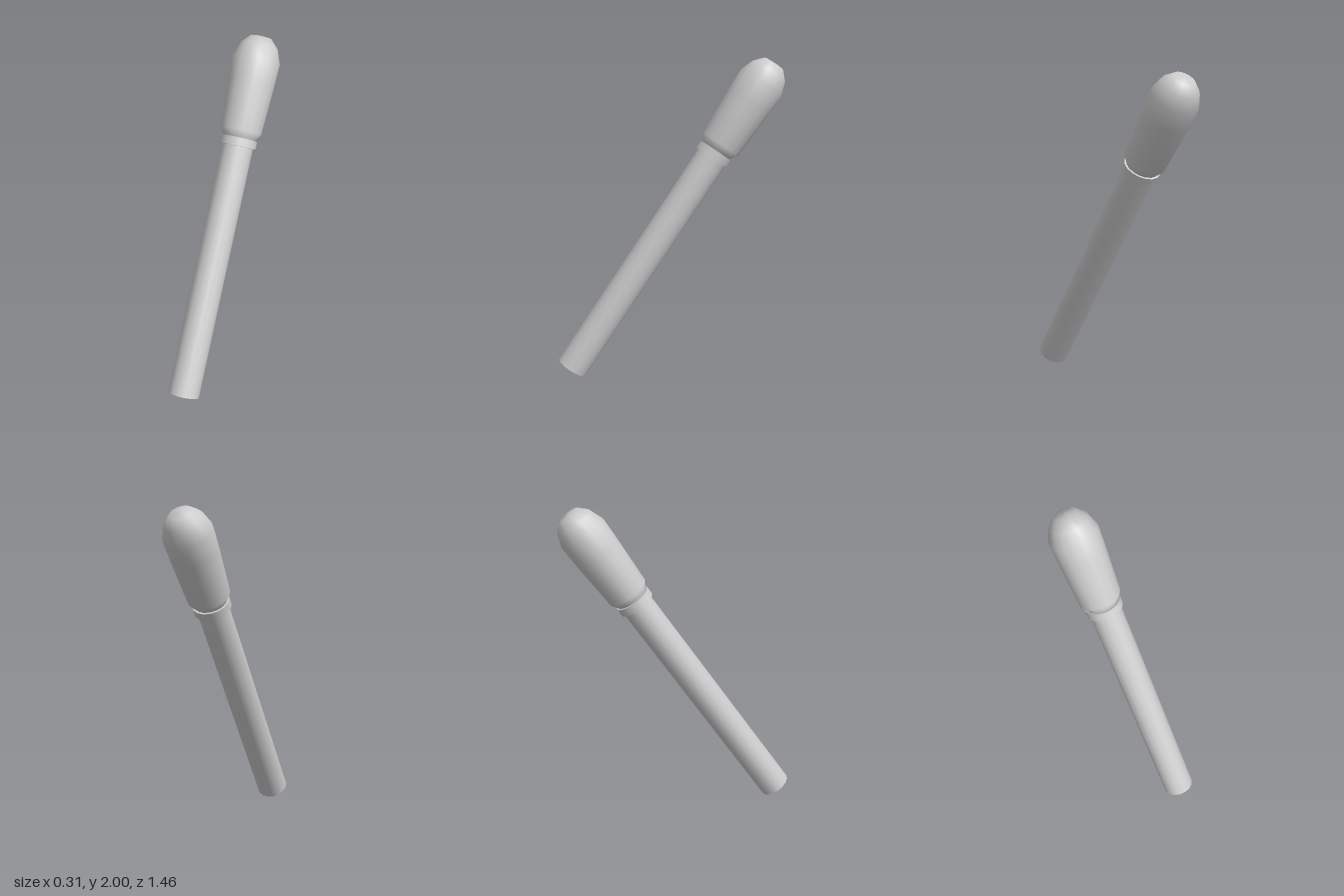
import * as THREE from 'three';

const SIDES = 16;
const TILT = THREE.MathUtils.degToRad(34.4);

export function createModel() {
  const material = new THREE.MeshStandardMaterial({ color: 0xcccccc });
  const model = new THREE.Group();
  model.name = 'roundHeadedStick';

  // All parts share one axis, leaning back from the base centre
  const axis = new THREE.Group();
  axis.name = 'leaningAxis';
  axis.position.set(0, 0.058, 0.644);
  axis.rotation.x = -TILT;
  model.add(axis);

  const add = (name, geometry, y = 0) => {
    const mesh = new THREE.Mesh(geometry, material);
    mesh.name = name;
    mesh.position.y = y;
    axis.add(mesh);
  };
  const cylinder = (name, radius, from, to) =>
    add(name, new THREE.CylinderGeometry(radius, radius, to - from, SIDES), (from + to) / 2);

  // Long straight shaft and the thin ring under the head
  cylinder('shaft', 0.1, 0, 1.65);
  cylinder('collar', 0.117, 1.61, 1.662);

  // Head: narrow neck, widening body, rounded tip
  const profile = [
    [0.1, 1.655], [0.105, 1.668], [0.133, 1.71], [0.149, 2.035],
    [0.153, 2.168], [0.12, 2.256], [0.07, 2.309], [0, 2.316],
  ].map(([r, y]) => new THREE.Vector2(r, y));
  add('head', new THREE.LatheGeometry(profile, SIDES));

  return model;
}
